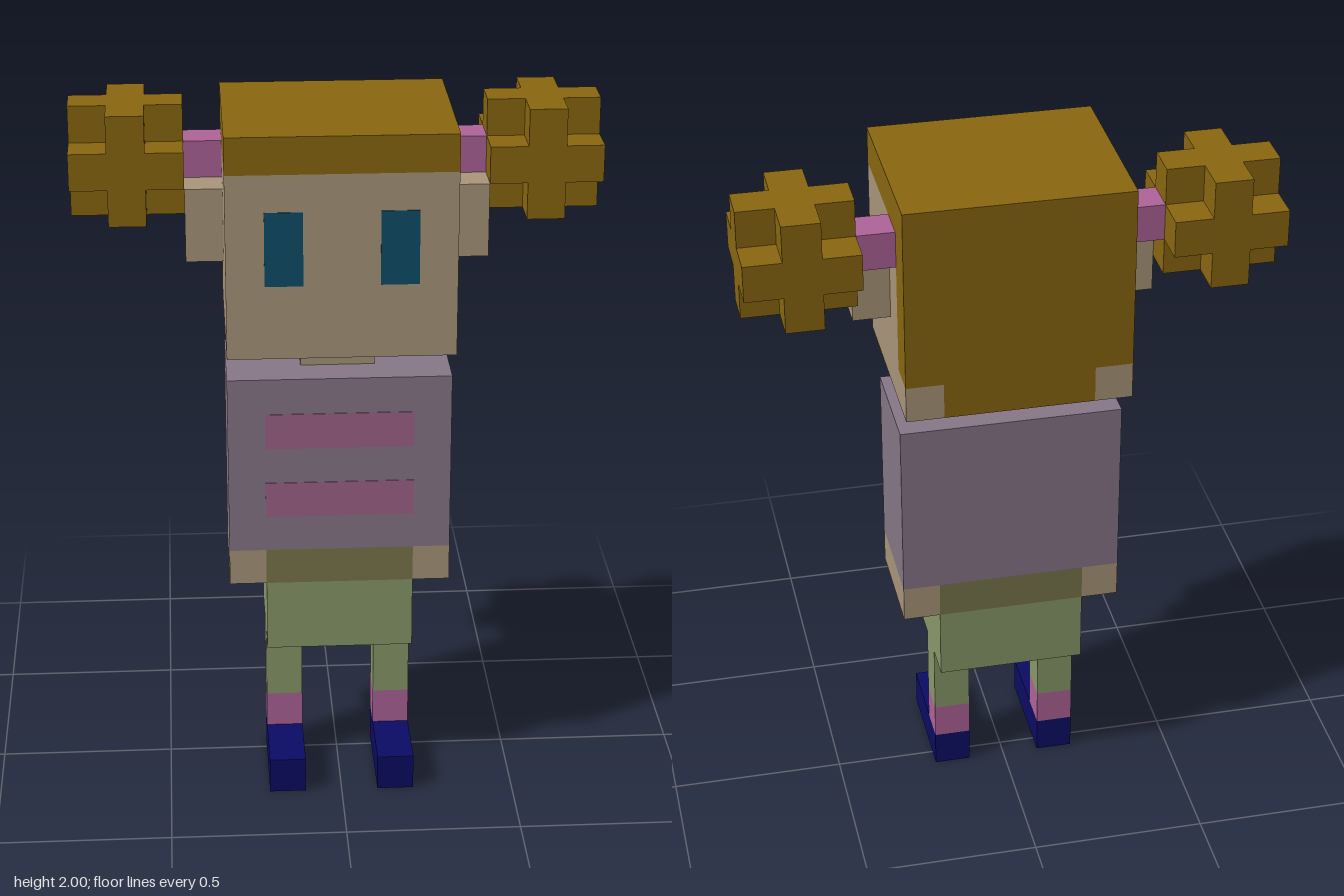
import * as THREE from 'three';

const U = 2 / 19; // one block
const colors = {
  skin: 0xab977b, hair: 0x8b6810, pink: 0xb06499, shirt: 0x887888, stripe: 0xa2648a,
  pants: 0x8a9a6a, waist: 0x7b784c, eye: 0x0f4f6b, shoe: 0x0b0b66,
};
const materials = {};
for (const key in colors) {
  materials[key] = new THREE.MeshStandardMaterial({ color: colors[key], flatShading: true });
}

// Box given by its ranges, in blocks
function block(name, mat, [x0, x1], [y0, y1], [z0, z1]) {
  const mesh = new THREE.Mesh(new THREE.BoxGeometry((x1 - x0) * U, (y1 - y0) * U, (z1 - z0) * U), materials[mat]);
  mesh.position.set((x0 + x1) / 2 * U, (y0 + y1) / 2 * U, (z0 + z1) / 2 * U);
  mesh.name = name;
  return mesh;
}

// Hair bun: a square slab with a plus-shaped cap above and below
function bun(name, x, y, z) {
  const group = new THREE.Group();
  group.name = name;
  group.add(block('bunMiddle', 'hair', [-1.5, 1.5], [-0.5, 0.5], [-1.5, 1.5]));
  const a = 0.5 * U, b = 1.5 * U;
  const plus = new THREE.Shape([
    [a, -b], [a, -a], [b, -a], [b, a], [a, a], [a, b],
    [-a, b], [-a, a], [-b, a], [-b, -a], [-a, -a], [-a, -b],
  ].map(([px, py]) => new THREE.Vector2(px, py)));
  const geometry = new THREE.ExtrudeGeometry(plus, { depth: U, bevelEnabled: false });
  geometry.rotateX(-Math.PI / 2);
  for (const [capName, base] of [['bunTop', 0.5], ['bunBottom', -1.5]]) {
    const cap = new THREE.Mesh(geometry, materials.hair);
    cap.position.y = base * U;
    cap.name = capName;
    group.add(cap);
  }
  group.position.set(x * U, y * U, z * U);
  return group;
}

export function createModel() {
  const model = new THREE.Group();
  model.name = 'blockGirl';
  const add = (...args) => model.add(block(...args));
  const proud = [2.4, 2.52]; // face details

  // Torso
  add('shirt', 'shirt', [-3, 3], [7, 12], [-1.5, 1.5]);
  add('lowerStripe', 'stripe', [-2, 2], [8, 9], [1.4, 1.52]);
  add('upperStripe', 'stripe', [-2, 2], [10, 11], [1.4, 1.52]);
  add('waist', 'waist', [-2, 2], [6, 7], [-1.5, 1.5]);
  add('shorts', 'pants', [-2, 2], [4, 6], [-1.5, 1.5]);

  // Head and hair
  add('neck', 'skin', [-1, 1], [12, 13], [-0.5, 0.5]);
  add('head', 'skin', [-3, 3], [13, 18], [-1.5, 2.5]);
  add('hairTop', 'hair', [-3, 3], [18, 19], [-2.5, 2.5]);
  add('hairBack', 'hair', [-3, 3], [14, 18], [-2.5, -1.5]);
  add('hairNape', 'hair', [-2, 2], [13, 14], [-2.5, -1.5]);

  // Mirrored parts
  for (const [side, s] of [['left', 1], ['right', -1]]) {
    const span = (a, b) => (s > 0 ? [a, b] : [-b, -a]);
    add(side + 'Eye', 'eye', span(1, 2), [15, 17], proud);
    add(side + 'Jaw', 'skin', span(2, 3), [13, 14], [-2.5, -1.5]);
    add(side + 'Ear', 'skin', span(3, 4), [15, 17], [-0.5, 0.5]);
    add(side + 'HairTie', 'pink', span(3, 4), [17, 18], [-1.5, -0.5]);
    model.add(bun(side + 'Bun', s * 5.5, 17.5, -1));
    add(side + 'Hand', 'skin', span(2, 3), [6, 7], [-1.5, 1.5]);
    add(side + 'Leg', 'pants', span(1, 2), [2, 4], [-0.5, 0.5]);
    add(side + 'Sock', 'pink', span(1, 2), [1, 2], [-0.5, 0.5]);
    add(side + 'Shoe', 'shoe', span(1, 2), [0, 1], [-0.5, 2.5]);
  }
  return model;
}
